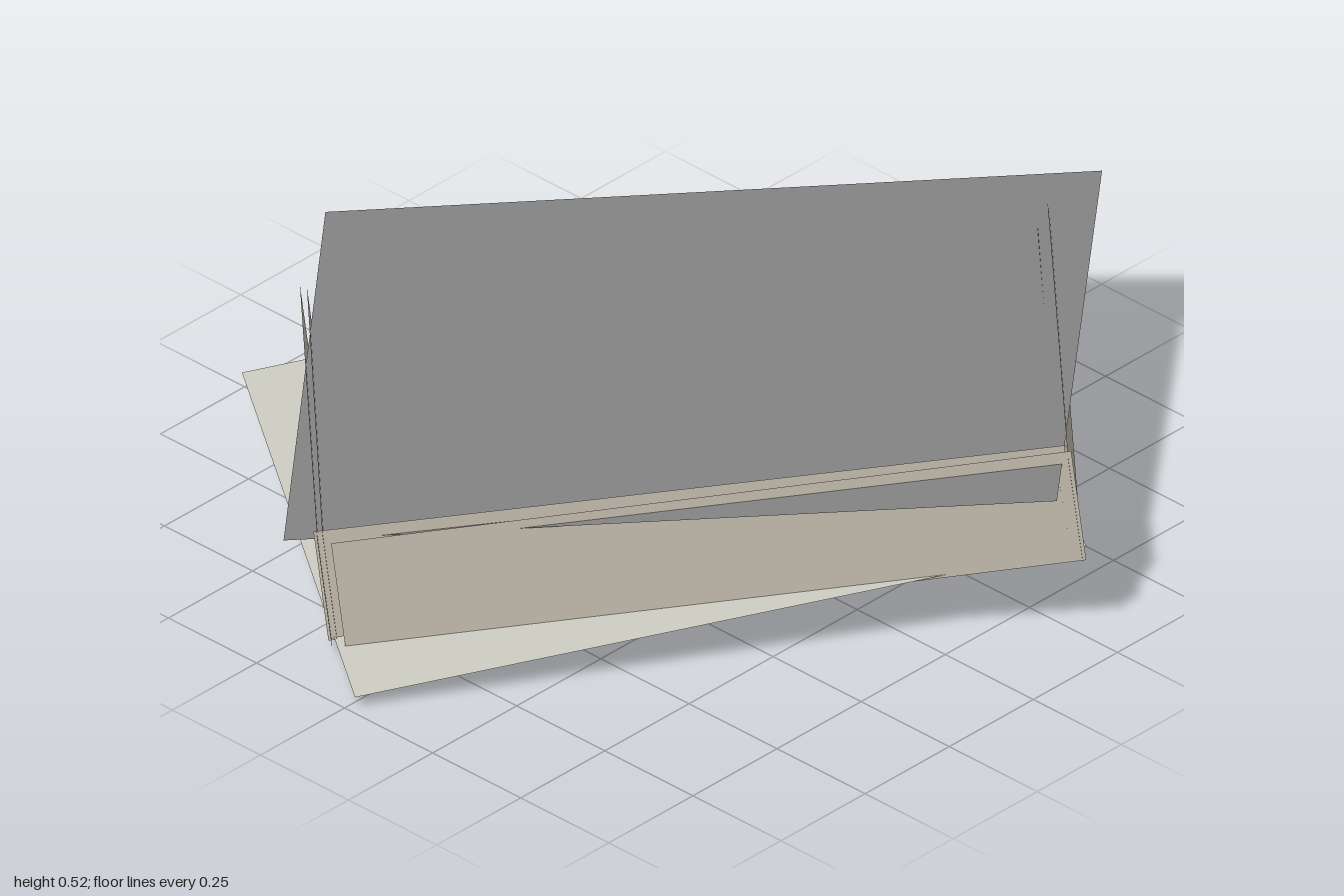
import * as THREE from 'three';

const sheetMaterial = (color) => new THREE.MeshStandardMaterial({ color, side: THREE.DoubleSide, flatShading: true });
const lidMaterial = sheetMaterial(0x828282);
const baseMaterial = sheetMaterial(0xcccbc0);
const wallMaterial = sheetMaterial(0xccc4b6);

// Flat four-cornered sheet, corners in order around its edge
function sheet(name, corners, material) {
  const geometry = new THREE.BufferGeometry();
  geometry.setAttribute('position', new THREE.Float32BufferAttribute(corners.flat(), 3));
  geometry.setIndex([0, 1, 2, 0, 2, 3]);
  geometry.computeVertexNormals();
  const mesh = new THREE.Mesh(geometry, material);
  mesh.name = name;
  return mesh;
}

// Wall sheet raised from its bottom edge along the tilted box's up direction
const UP = [-0.011, 0.275, 0.033];
function wall(name, start, end, up = UP) {
  const raise = (p) => p.map((v, i) => v + up[i]);
  return sheet(name, [start, end, raise(end), raise(start)], wallMaterial);
}

export function createModel() {
  const box = new THREE.Group();
  box.name = 'tiltedBox';

  // Lid and base, turned against each other
  box.add(sheet('lid', [[-1, 0.32, 0.01], [-0.24, 0.275, 0.93], [1, 0.455, -0.07], [0.24, 0.5, -1]], lidMaterial));
  box.add(sheet('base', [[-0.96, 0.08, 0.3], [0.02, 0.035, 0.99], [0.91, 0.225, -0.25], [-0.07, 0.27, -0.95]], baseMaterial));

  // Each wall: an outer and an inner sheet, bottom edge start and end
  const walls = {
    frontLong: [
      [[-0.12, 0.028, 0.87], [0.94, 0.217, -0.22]],
      [[-0.17, 0.035, 0.87], [0.92, 0.222, -0.22]],
    ],
    frontShort: [
      [[-0.82, 0.06, 0.23], [-0.14, 0.035, 0.89]],
      [[-0.8, 0.062, 0.23], [-0.15, 0.04, 0.865]],
    ],
    backLong: [
      [[-0.83, 0.005, 0.03], [0.12, 0.17, -0.8], [-0.04, 0.27, 0.01]],
      [[-0.82, 0.035, 0.06], [0.13, 0.2, -0.79], [-0.02, 0.25, 0]],
    ],
    backShort: [
      [[0.94, 0.217, -0.21], [0.28, 0.262, -0.84], [-0.011, 0.265, 0.033]],
      [[0.92, 0.222, -0.2], [0.29, 0.268, -0.8], [-0.011, 0.22, 0.033]],
    ],
  };
  for (const [name, layers] of Object.entries(walls)) {
    layers.forEach(([start, end, up], i) => box.add(wall(name + (i ? 'WallInner' : 'WallOuter'), start, end, up)));
  }

  // Low flap running past the end of the back short wall
  box.add(wall('backFlap', [0.34, 0.272, -0.78], [0.2, 0.275, -0.92], [-0.006, 0.155, 0.005]));

  return box;
}
